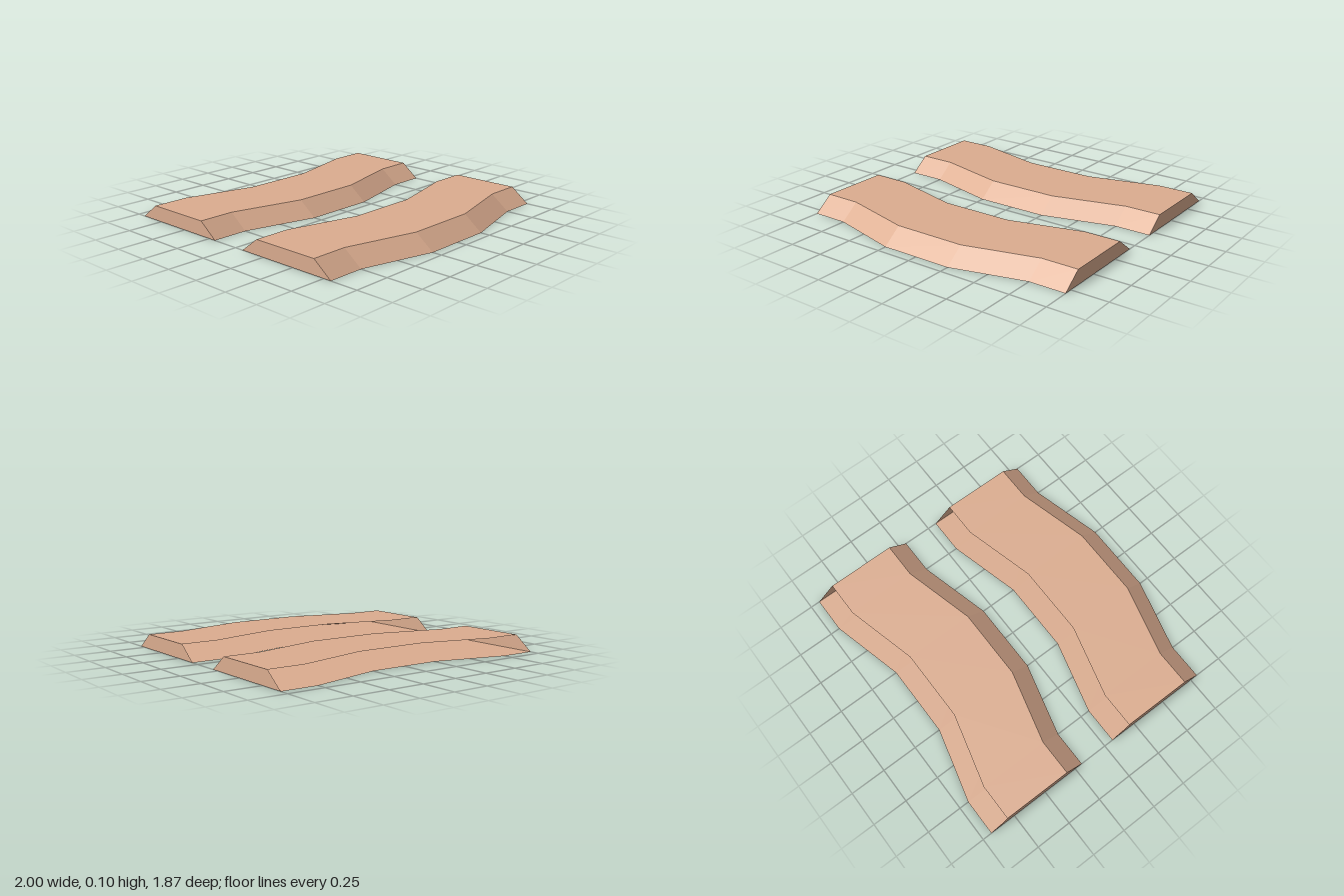
import * as THREE from 'three';

// Bend of the slab along x: [x, z shift]
const BEND = [[-1, 0], [-0.75, 0], [-0.25, 0.13], [0.25, 0.13], [0.75, 0], [1, 0]];
// Cross-section [z, y]: back bottom, front bottom, front top, back top
const SECTION = [[0.065, 0], [0.805, 0], [0.675, 0.1], [0.195, 0.1]];

// Hollow slab with floor, sloped front, top and end caps; its back side is open
function slabGeometry() {
  const rings = BEND.map(([x, dz]) => SECTION.map(([z, y]) => [x, y, z + dz]));
  const positions = [];
  const quad = (a, b, c, d) => positions.push(...a, ...b, ...c, ...a, ...c, ...d);

  for (let i = 0; i < rings.length - 1; i++) {
    const r = rings[i], s = rings[i + 1];
    for (let j = 0; j < 3; j++) quad(r[j], s[j], s[j + 1], r[j + 1]);
  }
  // End caps
  const [a, b, c, d] = rings[0];
  quad(a, b, c, d);
  const [e, f, g, h] = rings[rings.length - 1];
  quad(e, h, g, f);

  const geometry = new THREE.BufferGeometry();
  geometry.setAttribute('position', new THREE.Float32BufferAttribute(positions, 3));
  geometry.computeVertexNormals();
  return geometry;
}

export function createModel() {
  const group = new THREE.Group();
  group.name = 'bentSlabs';
  const tan = new THREE.MeshStandardMaterial({ color: 0xdcad90, side: THREE.DoubleSide, flatShading: true });
  tan.name = 'tan';

  // Two identical slabs, one behind the other
  const geometry = slabGeometry();
  for (const [name, z] of [['frontSlab', 0], ['backSlab', -1]]) {
    const slab = new THREE.Mesh(geometry, tan);
    slab.name = name;
    slab.position.z = z;
    group.add(slab);
  }
  return group;
}
